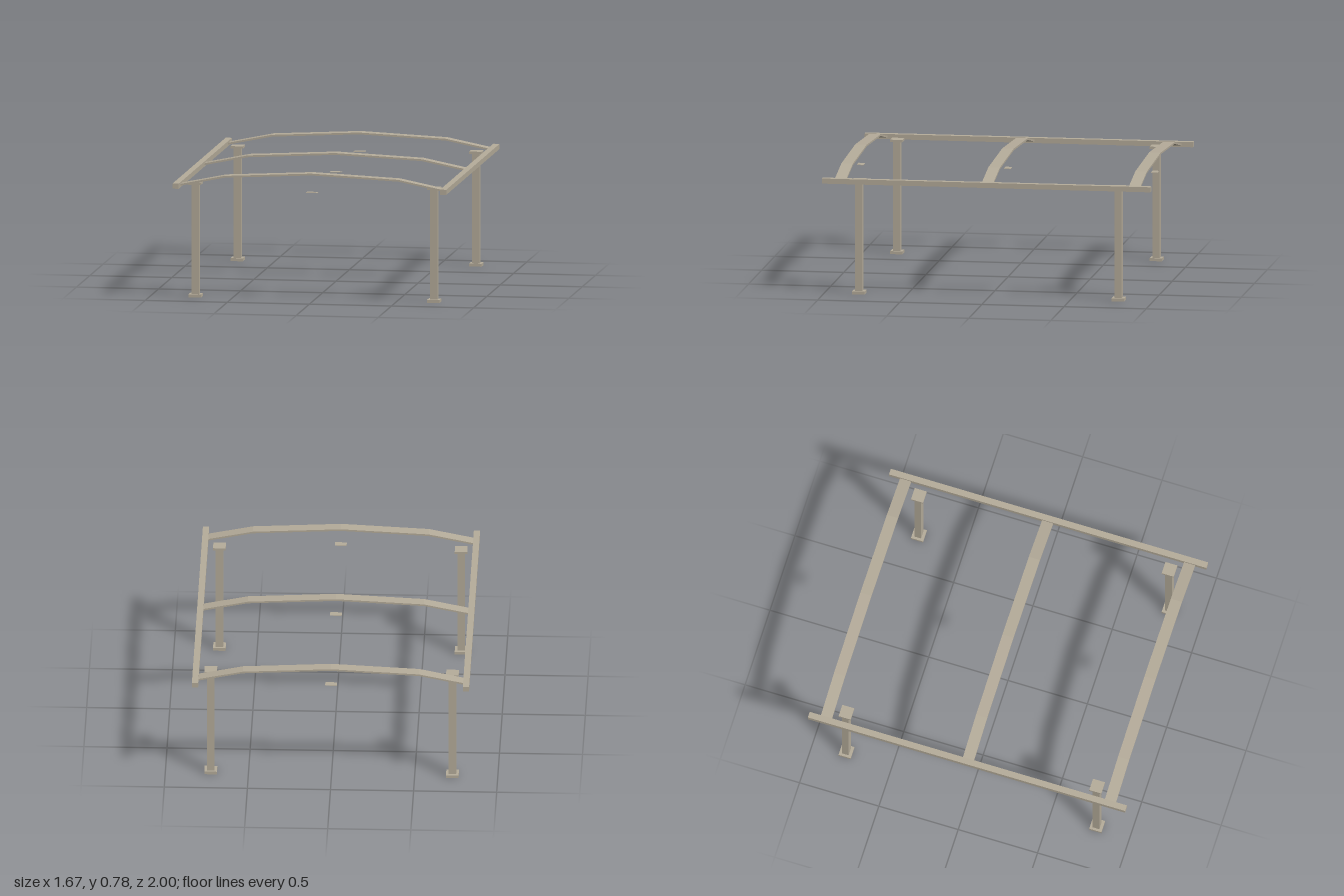
import * as THREE from 'three';

export function createModel() {
  const model = new THREE.Group();
  model.name = 'canopyFrame';
  const steel = new THREE.MeshStandardMaterial({ color: 0xb5ac9a });
  steel.name = 'warm grey steel';

  const box = (name, w, h, d, x, y, z, parent = model) => {
    const mesh = new THREE.Mesh(new THREE.BoxGeometry(w, h, d), steel);
    mesh.name = name;
    mesh.position.set(x, y, z);
    parent.add(mesh);
  };

  // Four posts with base and cap plates
  for (const sx of [-1, 1]) {
    for (const sz of [-1, 1]) {
      const post = new THREE.Group();
      post.name = 'post';
      post.position.set(sx * 0.727, 0, sz * 0.79);
      box('basePlate', 0.076, 0.018, 0.076, 0, 0.009, 0, post);
      box('postShaft', 0.046, 0.667, 0.043, 0, 0.3505, 0, post);
      box('capPlate', 0.076, 0.014, 0.076, 0, 0.691, 0, post);
      model.add(post);
    }
    // Long side rail
    box('sideRail', 0.038, 0.031, 2, sx * 0.815, 0.698, 0);
  }

  // Faceted arch profile, extruded along z
  const top = [[-0.8, 0.702], [-0.53, 0.757], [0, 0.783], [0.53, 0.757], [0.8, 0.702]];
  const bottom = top.map(([x, y]) => [x, y - 0.011]).reverse();
  const profile = new THREE.Shape([...top, ...bottom].map(([x, y]) => new THREE.Vector2(x, y)));
  const archGeometry = new THREE.ExtrudeGeometry(profile, { depth: 0.07, bevelEnabled: false });
  archGeometry.translate(0, 0, -0.035);

  // Three arched roof beams, each with a small hanging plate below its middle
  for (const z of [-0.895, 0, 0.895]) {
    const arch = new THREE.Mesh(archGeometry, steel);
    arch.name = 'archBeam';
    arch.position.z = z;
    model.add(arch);
    box('hangingPlate', 0.07, 0.003, 0.04, 0, 0.664, z);
  }

  return model;
}
